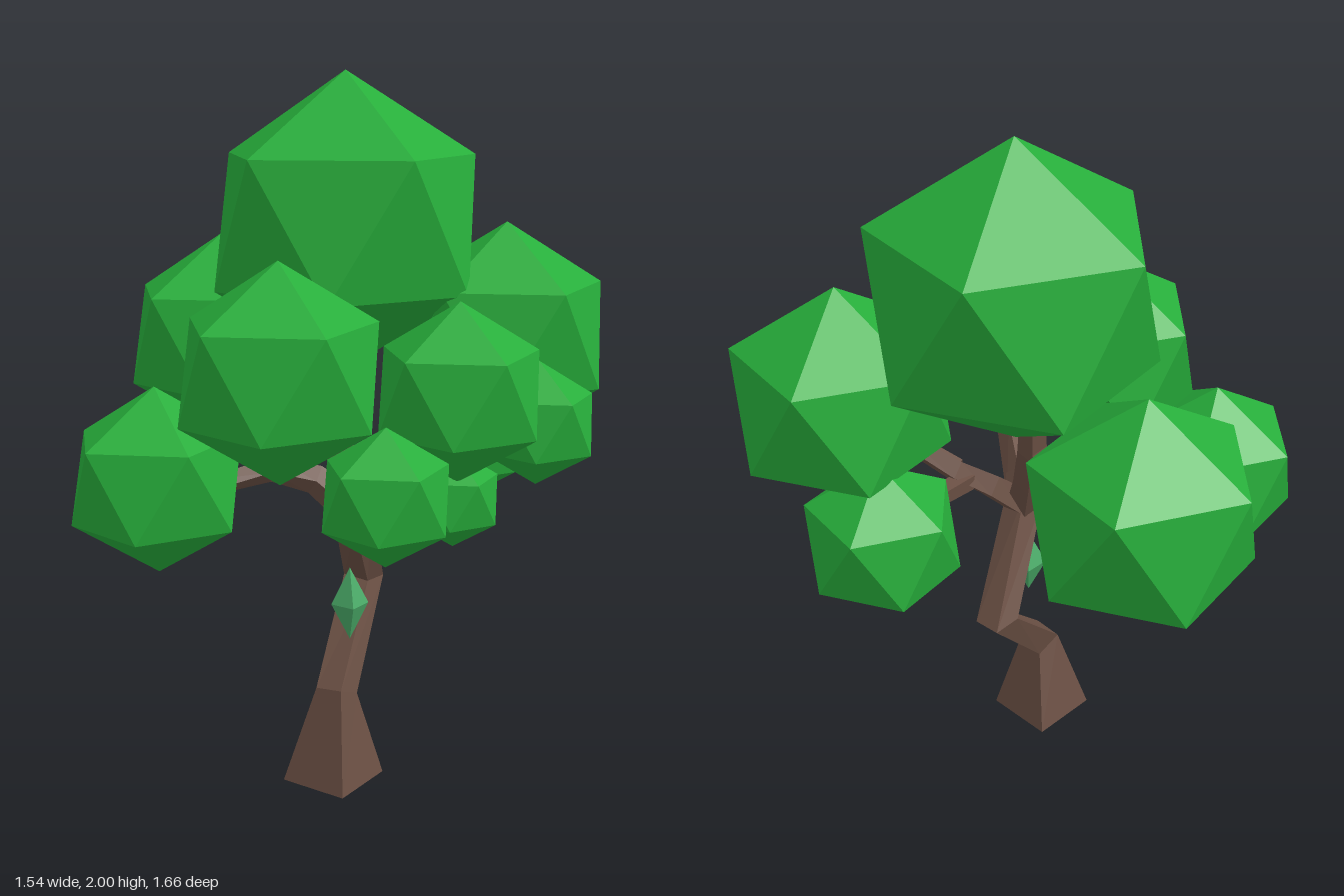
import * as THREE from 'three';

const bark = new THREE.MeshStandardMaterial({ color: 0x6b5044, flatShading: true });
const green = new THREE.MeshStandardMaterial({ color: 0x27ae3b, flatShading: true });
const paleGreen = new THREE.MeshStandardMaterial({ color: 0x4aab68, flatShading: true });

// Four-sided limb swept through points [x, y, z, radius]
function limb(name, points, startUpright = false) {
  const up = new THREE.Vector3(0, 1, 0);
  const centres = points.map(([x, y, z]) => new THREE.Vector3(x, y, z));
  const last = points.length - 1;
  const positions = [];
  const index = [];
  points.forEach((p, i) => {
    const before = centres[i].clone().sub(centres[Math.max(i - 1, 0)]).normalize();
    const after = centres[Math.min(i + 1, last)].clone().sub(centres[i]).normalize();
    const tangent = i === 0 && startUpright ? up : before.add(after).normalize();
    const turn = new THREE.Quaternion().setFromUnitVectors(up, tangent);
    for (let k = 0; k < 4; k++) {
      const a = (k * Math.PI) / 2;
      const v = new THREE.Vector3(Math.cos(a) * p[3], 0, Math.sin(a) * p[3]);
      positions.push(...v.applyQuaternion(turn).add(centres[i]).toArray());
      if (i < last) {
        const n = (k + 1) % 4;
        const a0 = i * 4 + k, b0 = i * 4 + n;
        index.push(a0, a0 + 4, b0, b0, a0 + 4, b0 + 4);
      }
    }
  });
  const e = last * 4;
  index.push(0, 1, 2, 0, 2, 3, e, e + 2, e + 1, e, e + 3, e + 2);
  const indexed = new THREE.BufferGeometry();
  indexed.setAttribute('position', new THREE.Float32BufferAttribute(positions, 3));
  indexed.setIndex(index);
  const geometry = indexed.toNonIndexed();
  geometry.computeVertexNormals();
  const mesh = new THREE.Mesh(geometry, bark);
  mesh.name = name;
  return mesh;
}

export function createModel() {
  const tree = new THREE.Group();
  tree.name = 'tree';

  // Crooked trunk with a flared foot
  tree.add(limb('trunk', [
    [-0.055, 0, 0.075, 0.146],
    [-0.045, 0.265, 0.075, 0.06],
    [0.08, 0.53, -0.16, 0.06],
    [0.0, 0.8, 0.08, 0.055],
    [0.01, 0.85, 0.14, 0.045],
  ], true));

  // Branches and their forks
  const branches = new THREE.Group();
  branches.name = 'branches';
  [
    ['frontBranch', [[0, 0.8, 0.08, 0.052], [0.04, 0.92, 0.28, 0.042], [0.11, 1.02, 0.42, 0.034], [0.16, 1.14, 0.54, 0.025]]],
    ['frontFork', [[0.04, 0.92, 0.28, 0.04], [-0.01, 0.96, 0.48, 0.032], [-0.03, 1.0, 0.64, 0.022]]],
    ['frontTwig', [[0.08, 0.98, 0.36, 0.03], [0.15, 0.96, 0.48, 0.02]]],
    ['rightBranch', [[0, 0.8, 0.06, 0.05], [-0.1, 0.89, 0.05, 0.042], [-0.22, 0.92, 0.03, 0.036], [-0.42, 0.88, 0.06, 0.026]]],
    ['rightFork', [[-0.2, 0.91, 0.03, 0.034], [-0.31, 0.99, -0.02, 0.03], [-0.34, 1.03, -0.03, 0.026]]],
    ['backBranch', [[0, 0.79, 0.06, 0.052], [-0.01, 0.95, -0.06, 0.042], [-0.02, 1.12, -0.17, 0.04], [-0.02, 1.27, -0.2, 0.032]]],
    ['backFork', [[-0.02, 1.1, -0.16, 0.038], [-0.13, 1.15, -0.32, 0.032], [-0.25, 1.18, -0.5, 0.024]]],
    ['leftBranch', [[0, 0.79, 0.06, 0.052], [0.1, 0.89, 0.01, 0.042], [0.2, 0.97, -0.03, 0.036], [0.38, 1.14, -0.08, 0.026]]],
    ['leftFork', [[0.19, 0.96, -0.02, 0.034], [0.32, 1.0, 0.06, 0.03], [0.46, 1.03, 0.13, 0.022]]],
    ['leftTwig', [[0.16, 0.93, -0.02, 0.034], [0.33, 0.94, -0.22, 0.024]]],
  ].forEach(([name, points]) => branches.add(limb(name, points)));
  tree.add(branches);

  // Leaf clumps: icosahedra standing on a corner, [x, y, z, radius]
  const ball = new THREE.IcosahedronGeometry(1, 0);
  ball.rotateX(-Math.atan((1 + Math.sqrt(5)) / 2));
  ball.rotateY(Math.PI / 2);
  const foliage = new THREE.Group();
  foliage.name = 'foliage';
  [
    [0.025, 1.58, -0.16, 0.42],
    [0.485, 1.26, -0.11, 0.32],
    [-0.22, 1.22, 0.2, 0.3],
    [-0.285, 1.2, -0.56, 0.318],
    [-0.54, 0.915, 0.07, 0.26],
    [0.165, 1.237, 0.585, 0.223],
    [-0.035, 1.01, 0.68, 0.172],
    [0.505, 1.05, 0.155, 0.175],
    [0.38, 0.925, -0.285, 0.229],
    [0.175, 0.952, 0.51, 0.127],
  ].forEach(([x, y, z, r], i) => {
    const clump = new THREE.Mesh(ball, green);
    clump.name = `leafClump${i + 1}`;
    clump.position.set(x, y, z);
    clump.scale.setScalar(r);
    foliage.add(clump);
  });
  tree.add(foliage);

  // Single falling leaf
  const leaf = new THREE.Mesh(new THREE.OctahedronGeometry(1, 0), paleGreen);
  leaf.name = 'fallingLeaf';
  leaf.position.set(-0.013, 0.54, 0.108);
  leaf.scale.set(0.053, 0.106, 0.053);
  tree.add(leaf);

  return tree;
}
